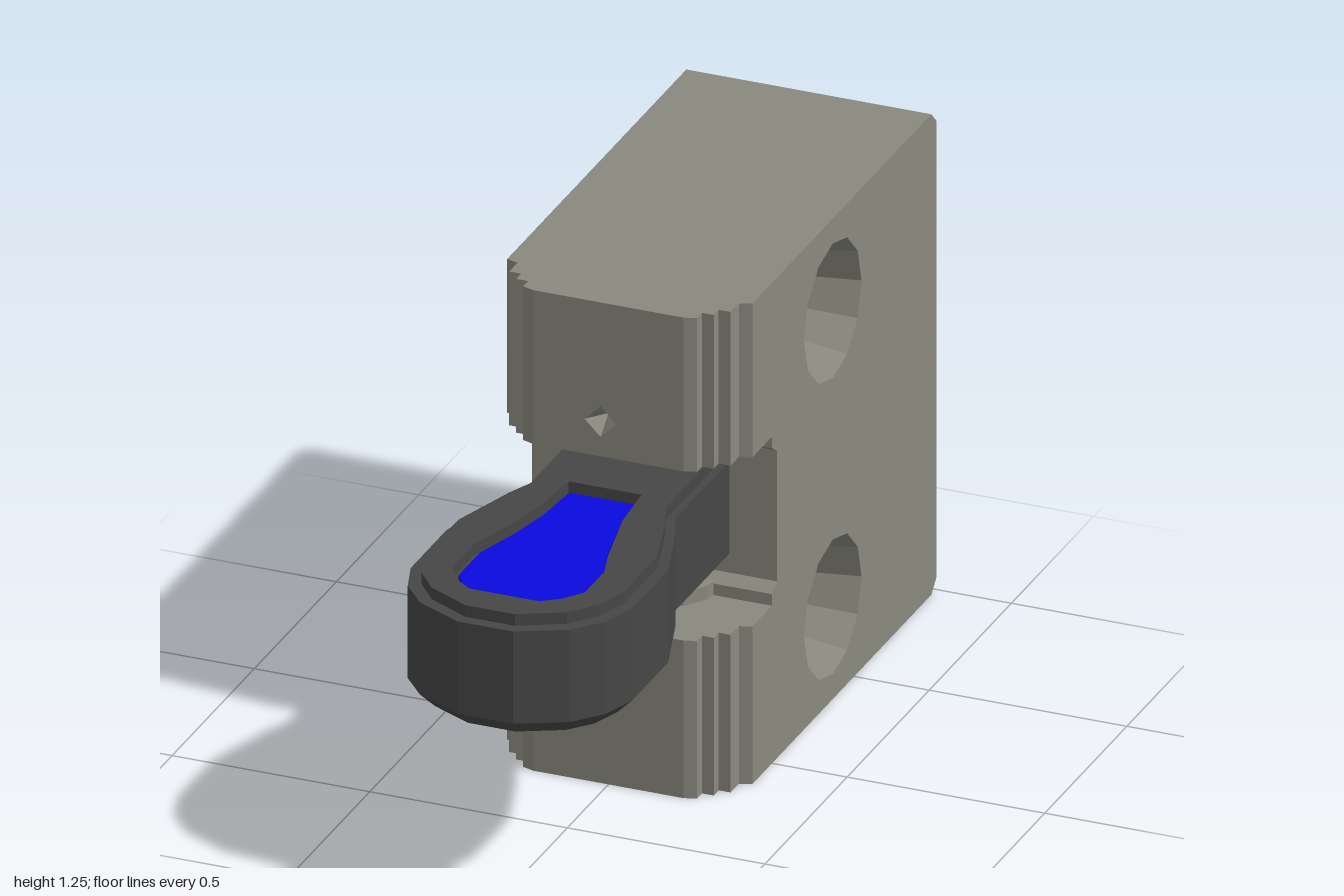
import * as THREE from 'three';

const bodyMat = new THREE.MeshStandardMaterial({ color: 0x89897e, flatShading: true, side: THREE.DoubleSide });
bodyMat.name = 'warmGrey';
const leverMat = new THREE.MeshStandardMaterial({ color: 0x464646, flatShading: true, side: THREE.DoubleSide });
leverMat.name = 'charcoal';
const inlayMat = new THREE.MeshStandardMaterial({ color: 0x0909dd, flatShading: true });
inlayMat.name = 'blue';

const toPoints = (list) => list.map(([a, b]) => new THREE.Vector2(a, b));
const mirrored = (half) => [...half, ...half.map(([x, z]) => [-x, z]).reverse()];
const ring = (cx, cy, r, n) => Array.from({ length: n }, (_, i) => {
  const a = (i / n) * Math.PI * 2;
  return [cx + r * Math.cos(a), cy + r * Math.sin(a)];
});

function extrude(outline, holes, depth, bevel = 0) {
  const shape = new THREE.Shape(toPoints(outline));
  holes.forEach((h) => shape.holes.push(new THREE.Path(toPoints(h))));
  return new THREE.ExtrudeGeometry(shape, {
    depth: depth - 2 * bevel, bevelEnabled: bevel > 0, bevelSegments: 1,
    bevelSize: bevel, bevelThickness: bevel, bevelOffset: -bevel,
  }).translate(0, 0, bevel);
}

// Outline drawn in x and z, extruded between two heights
const slab = (outline, holes, y0, y1, bevel) =>
  extrude(outline, holes, y1 - y0, bevel).rotateX(Math.PI / 2).translate(0, y1, 0);

export function createModel() {
  const model = new THREE.Group();
  const add = (name, geometry, material, parent = model) => {
    const mesh = new THREE.Mesh(geometry, material);
    mesh.name = name;
    parent.add(mesh);
    return mesh;
  };

  const W = 0.31, H = 1.25, LOW = 0.41, HIGH = 0.85, HOLE_Z = -0.37;
  const body = new THREE.Group();
  body.name = 'body';
  model.add(body);

  // Rear block: side profile with the slot and two cross holes
  const profile = [
    [0.12, 0], [0.12, LOW], [0, LOW], [0, 0.44], [-0.03, 0.46], [-0.03, 0.8], [0, 0.82], [0, HIGH],
    [0.12, HIGH], [0.12, H], [-0.97, H], [-1, H - 0.03], [-1, 0.03], [-0.97, 0],
  ];
  const holeYs = [0.24, 1.01];
  const block = extrude(profile, holeYs.map((y) => ring(HOLE_Z, y, 0.175, 12)), 2 * W);
  add('rearBlock', block.rotateY(-Math.PI / 2).translate(W, 0, 0), bodyMat, body);

  // Countersunk walls of the cross holes
  const bore = toPoints([[0.175, -W], [0.15, -0.19], [0.09, -0.16], [0.09, 0.16], [0.15, 0.19], [0.175, W]]);
  holeYs.forEach((y) => {
    add('screwHole', new THREE.LatheGeometry(bore, 12).rotateZ(Math.PI / 2).translate(0, y, HOLE_Z), bodyMat, body);
  });

  // Two front jaws with stepped corners and a small diamond pit
  const steps = [[0.19, 0.12], [W, 0.12], [0.28, 0.13], [0.28, 0.18], [0.25, 0.18],
    [0.25, 0.21], [0.22, 0.21], [0.22, 0.24], [0.19, 0.25]];
  [[0, LOW, 0.01, 0.315], [HIGH, H, -0.02, 0.94]].forEach(([y0, y1, px, py]) => {
    const face = [[-0.19, y0], [0.19, y0], [0.19, y1], [-0.19, y1]];
    add('frontJaw', extrude(face, [ring(px, py, 0.04, 4)], 0.13).translate(0, 0, 0.12), bodyMat, body);
    const pit = new THREE.CylinderGeometry(0.04, 0, 0.05, 4, 1, true).rotateX(Math.PI / 2);
    add('diamondPit', pit.translate(px, py, 0.225), bodyMat, body);
    [1, -1].forEach((s) => {
      add('steppedCorner', slab(steps.map(([x, z]) => [x * s, z]), [], y0, y1), bodyMat, body);
    });
  });

  // Round ledges above and below the lever pivot
  [0.425, 0.83].forEach((y) => {
    add('pivotLedge', new THREE.CylinderGeometry(0.17, 0.17, 0.04, 16).translate(0, y, -0.04), bodyMat, body);
  });

  // Lever: bevelled underside, wide middle and a narrower top rim
  const lever = new THREE.Group();
  lever.name = 'lever';
  model.add(lever);
  const outline = mirrored([[0.19, -0.04], [0.19, 0.3], [0.22, 0.37], [0.28, 0.56], [0.28, 0.78],
    [0.25, 0.87], [0.19, 0.94], [0.07, 1]]);
  const rim = outline.map(([x, z]) => [x * 0.9, z < 0 ? z : 0.5 + (z - 0.5) * 0.94]);
  const inlay = mirrored([[0.085, 0.285], [0.095, 0.42], [0.12, 0.54], [0.155, 0.66], [0.155, 0.79],
    [0.12, 0.84], [0.08, 0.87]]);
  const recess = inlay.map(([x, z]) => [x * 1.09, 0.58 + (z - 0.58) * 1.05]);
  const cavity = ring(0, 0.7, 0.14, 14);
  add('leverUnderside', slab(outline, [cavity], 0.47, 0.62, 0.04), leverMat, lever);
  add('leverLowerBand', slab(outline, [cavity], 0.51, 0.63), leverMat, lever);
  add('leverUpperBand', slab(outline, [], 0.63, 0.75), leverMat, lever);
  add('leverRim', slab(rim, [recess], 0.75, 0.78), leverMat, lever);
  add('leverInlay', slab(inlay, [], 0.75, 0.759), inlayMat, lever);

  // Rings inside the cavity under the lever head
  [[0.115, 0.57], [0.07, 0.6]].forEach(([r, y]) => {
    const band = new THREE.TorusGeometry(r, 0.025, 4, 14).rotateX(Math.PI / 2);
    add('cavityRing', band.translate(0, y, 0.7), leverMat, lever);
  });
  return model;
}
